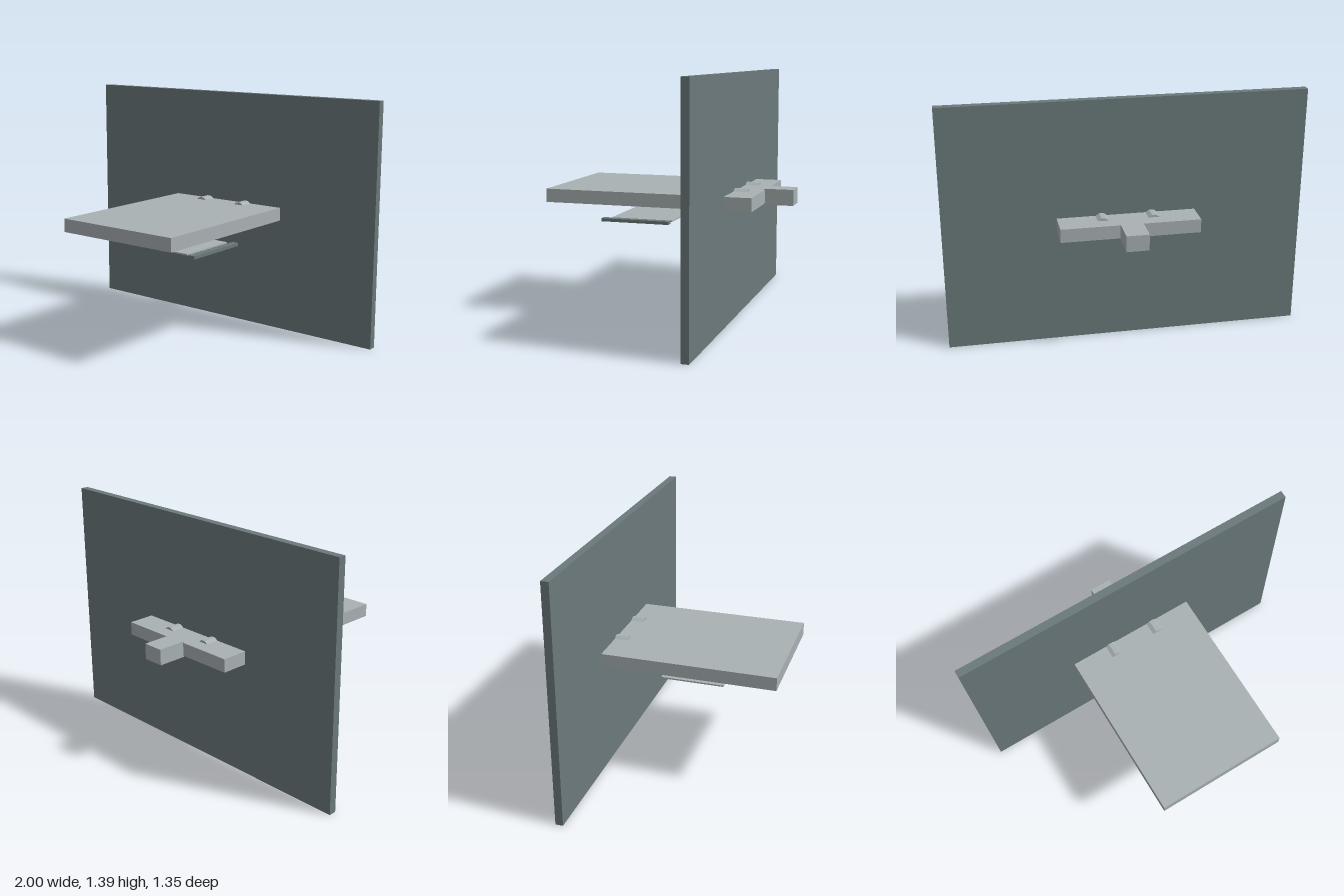
import * as THREE from 'three';

export function createModel() {
  const group = new THREE.Group();
  const paleGrey = new THREE.MeshStandardMaterial({ color: 0xa9b1b4 });
  paleGrey.name = 'pale grey';
  const slateGrey = new THREE.MeshStandardMaterial({ color: 0x6b797b });
  slateGrey.name = 'slate grey';

  // Box given by its extents along each axis
  function box(name, material, [x0, x1], [y0, y1], [z0, z1]) {
    const mesh = new THREE.Mesh(new THREE.BoxGeometry(x1 - x0, y1 - y0, z1 - z0), material);
    mesh.position.set((x0 + x1) / 2, (y0 + y1) / 2, (z0 + z1) / 2);
    mesh.name = name;
    group.add(mesh);
  }

  // Upright wall with the shelf passing through it
  box('wallPanel', slateGrey, [-1, 1], [0, 1.387], [-0.362, -0.318]);
  box('shelfSlab', paleGrey, [-0.385, 0.382], [0.657, 0.733], [-0.515, 0.677]);
  box('rearTab', paleGrey, [-0.064, 0.06], [0.65, 0.74], [-0.677, -0.51]);

  // Pad, thin tray and side rail below the shelf
  box('underPad', paleGrey, [-0.195, 0.19], [0.643, 0.66], [-0.022, 0.345]);
  box('thinTray', paleGrey, [-0.225, 0.22], [0.551, 0.559], [-0.02, 0.345]);
  box('sideRail', slateGrey, [0.256, 0.296], [0.547, 0.565], [-0.022, 0.377]);

  // Pins running front to back through the shelf
  const pin = new THREE.CylinderGeometry(0.0535, 0.0535, 0.198, 12);
  pin.rotateY(Math.PI / 12).rotateX(Math.PI / 2).scale(0.85, 1, 1);
  const pinGeometry = pin.toNonIndexed();
  pinGeometry.computeVertexNormals();
  for (const side of [-1, 1]) {
    const mesh = new THREE.Mesh(pinGeometry, paleGrey);
    mesh.position.set(side * 0.139 - 0.002, 0.695, -0.34);
    mesh.name = side > 0 ? 'leftPin' : 'rightPin';
    group.add(mesh);
  }
  return group;
}
